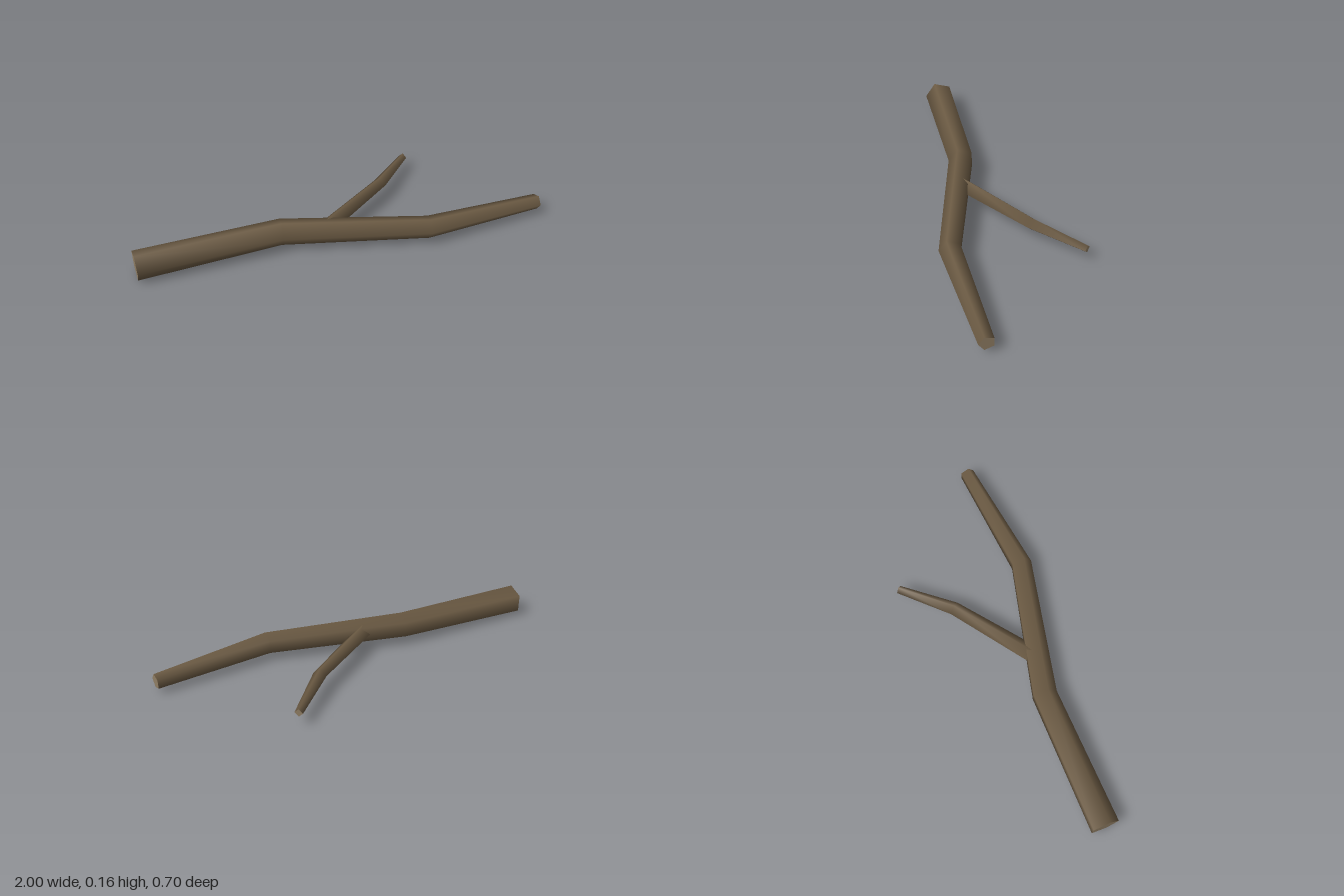
import * as THREE from 'three';

const UP = new THREE.Vector3(0, 1, 0);

// Cross-section rings along a bent path; each node is [x, y, z, radius]
function makeRings(nodes, sides) {
  const pts = nodes.map(n => new THREE.Vector3(n[0], n[1], n[2]));
  const dir = i => pts[i + 1].clone().sub(pts[i]).normalize();
  const last = pts.length - 1;
  return pts.map((p, i) => {
    const t = dir(Math.min(i, last - 1)).add(dir(Math.max(i - 1, 0))).normalize();
    const s = t.clone().cross(UP).normalize();
    const u = s.clone().cross(t);
    return Array.from({ length: sides }, (_, j) => {
      const a = (j / sides) * Math.PI * 2;
      return p.clone()
        .addScaledVector(s, nodes[i][3] * Math.cos(a))
        .addScaledVector(u, nodes[i][3] * Math.sin(a));
    });
  });
}

function build(points, index) {
  const g = new THREE.BufferGeometry().setFromPoints(points);
  g.setIndex(index);
  g.computeVertexNormals();
  return g;
}

// Smooth bark skin joining the rings
function skin(rings) {
  const n = rings[0].length, index = [];
  for (let i = 0; i < rings.length - 1; i++) {
    for (let j = 0; j < n; j++) {
      const a = i * n + j, b = i * n + (j + 1) % n;
      index.push(a, a + n, b, b, a + n, b + n);
    }
  }
  return build(rings.flat(), index);
}

// Flat cut face closing one ring
function cut(ring, atEnd) {
  const index = [];
  for (let j = 1; j < ring.length - 1; j++) {
    index.push(0, ...(atEnd ? [j + 1, j] : [j, j + 1]));
  }
  return build(ring, index);
}

export function createModel() {
  const bark = new THREE.MeshStandardMaterial({ color: 0x6b5a43 });
  bark.name = 'bark';
  const wood = new THREE.MeshStandardMaterial({ color: 0x917f65 });
  wood.name = 'cutWood';

  const model = new THREE.Group();
  model.name = 'fallenBranch';

  function addLimb(name, nodes, sides) {
    const limb = new THREE.Group();
    limb.name = name;
    const rings = makeRings(nodes, sides);
    const add = (part, geometry, material) => {
      const mesh = new THREE.Mesh(geometry, material);
      mesh.name = name + part;
      limb.add(mesh);
    };
    add('Bark', skin(rings), bark);
    add('BaseCut', cut(rings[0], false), wood);
    add('TipCut', cut(rings[rings.length - 1], true), wood);
    model.add(limb);
  }

  // Main stem, five-sided, tapering toward +x
  addLimb('stem', [
    [-0.991, 0.072, 0.273, 0.074],
    [-0.3, 0.094, 0.193, 0.066],
    [0.4, 0.083, 0.291, 0.056],
    [0.992, 0.061, 0.175, 0.039],
  ], 5);

  // Thin side twig, four-sided, growing toward the back
  addLimb('twig', [
    [-0.08, 0.092, 0.198, 0.044],
    [0.255, 0.092, -0.1, 0.035],
    [0.443, 0.071, -0.34, 0.021],
  ], 4);

  return model;
}
